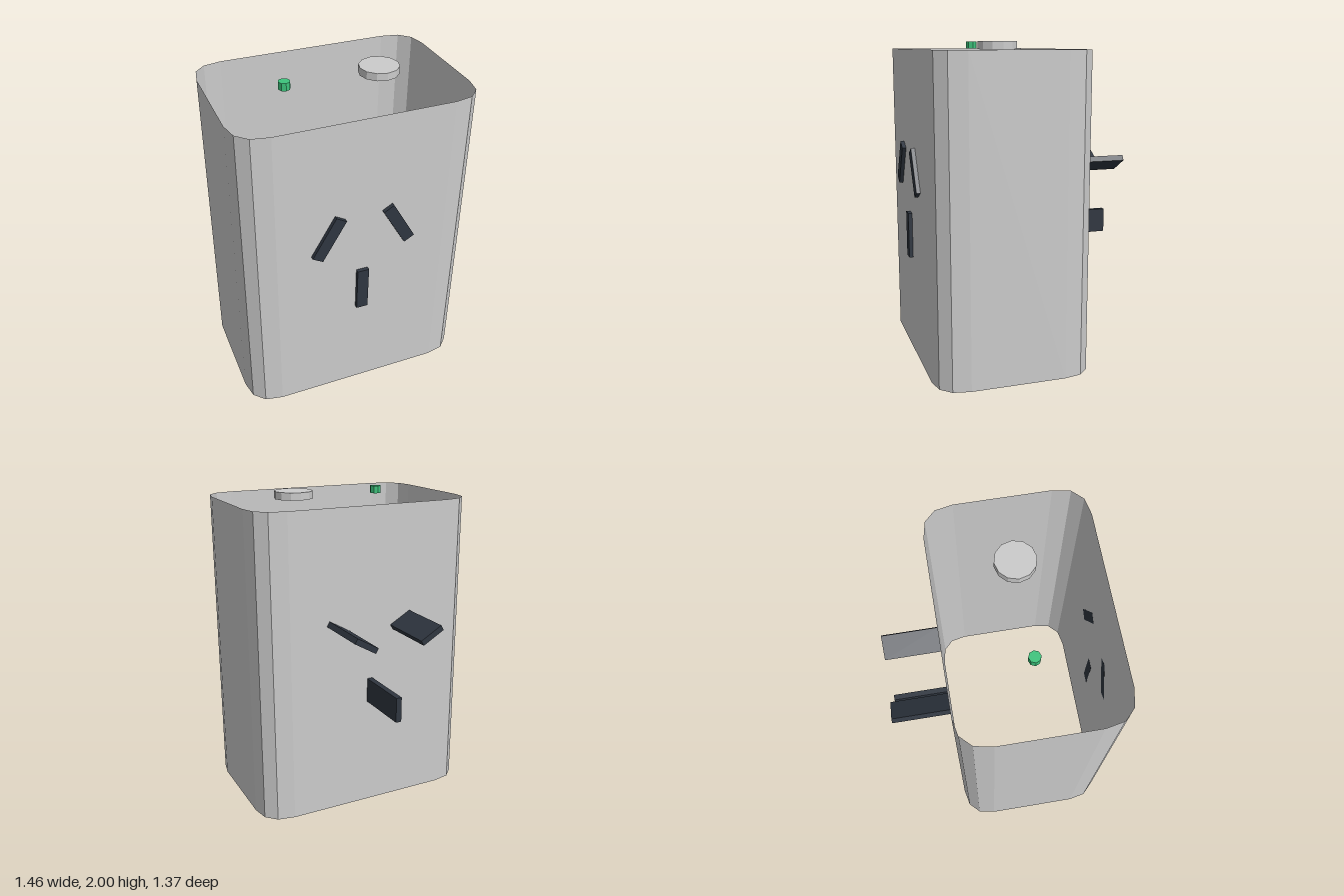
import * as THREE from 'three';

const TOP = 1.953;
const grey = new THREE.MeshStandardMaterial({ color: 0xcccccc, flatShading: true });
const shell = new THREE.MeshStandardMaterial({ color: 0xcccccc, flatShading: true, side: THREE.DoubleSide });
const dark = new THREE.MeshStandardMaterial({ color: 0x2f3640, flatShading: true });
const green = new THREE.MeshStandardMaterial({ color: 0x3cc47c, flatShading: true });

function add(parent, name, geometry, material, x, y, z, tilt = 0) {
  const mesh = new THREE.Mesh(geometry, material);
  mesh.name = name;
  mesh.position.set(x, y, z);
  mesh.rotation.z = THREE.MathUtils.degToRad(tilt);
  parent.add(mesh);
  return mesh;
}

// Open-ended wall: a rounded rectangle outline swept straight up
function wallGeometry(x, zBack, zFront, r, height) {
  const s = new THREE.Shape();
  s.moveTo(-x + r, zBack);
  s.lineTo(x - r, zBack);
  s.quadraticCurveTo(x, zBack, x, zBack + r);
  s.lineTo(x, zFront - r);
  s.quadraticCurveTo(x, zFront, x - r, zFront);
  s.lineTo(-x + r, zFront);
  s.quadraticCurveTo(-x, zFront, -x, zFront - r);
  s.lineTo(-x, zBack + r);
  s.quadraticCurveTo(-x, zBack, -x + r, zBack);
  const outline = s.getPoints(3);
  const positions = [];
  for (let i = 0; i < outline.length - 1; i++) {
    const a = outline[i], b = outline[i + 1];
    const a0 = [a.x, 0, a.y], a1 = [a.x, height, a.y];
    const b0 = [b.x, 0, b.y], b1 = [b.x, height, b.y];
    positions.push(...a0, ...a1, ...b1, ...a0, ...b1, ...b0);
  }
  const g = new THREE.BufferGeometry();
  g.setAttribute('position', new THREE.Float32BufferAttribute(positions, 3));
  g.computeVertexNormals();
  return g;
}

export function createModel() {
  const model = new THREE.Group();
  model.name = 'plugAdapter';

  add(model, 'housing', wallGeometry(0.728, -0.316, 0.659, 0.195, TOP), shell, 0, 0, 0);

  // Socket slots on the front, matching prongs on the back
  const slot = new THREE.BoxGeometry(0.073, 0.29, 0.025);
  const prong = new THREE.BoxGeometry(0.036, 0.157, 0.365);
  const contacts = [
    ['earth', 0, 0.785, 0, 0],
    ['left', 0.22, 1.221, 30, -60],
    ['right', -0.22, 1.221, -30, 60],
  ];
  for (const [side, x, y, slotTilt, prongTilt] of contacts) {
    add(model, side + 'Slot', slot, dark, x, y, 0.671, slotTilt);
    add(model, side + 'Prong', prong, dark, x, y, -0.502, prongTilt);
  }

  // Controls on top
  const h = 2 - TOP;
  add(model, 'button', new THREE.CylinderGeometry(0.122, 0.122, h, 12), grey, 0.291, TOP + h / 2, 0.169);
  add(model, 'indicatorLamp', new THREE.CylinderGeometry(0.036, 0.036, h, 8), green, -0.294, TOP + h / 2, 0.169);

  return model;
}
